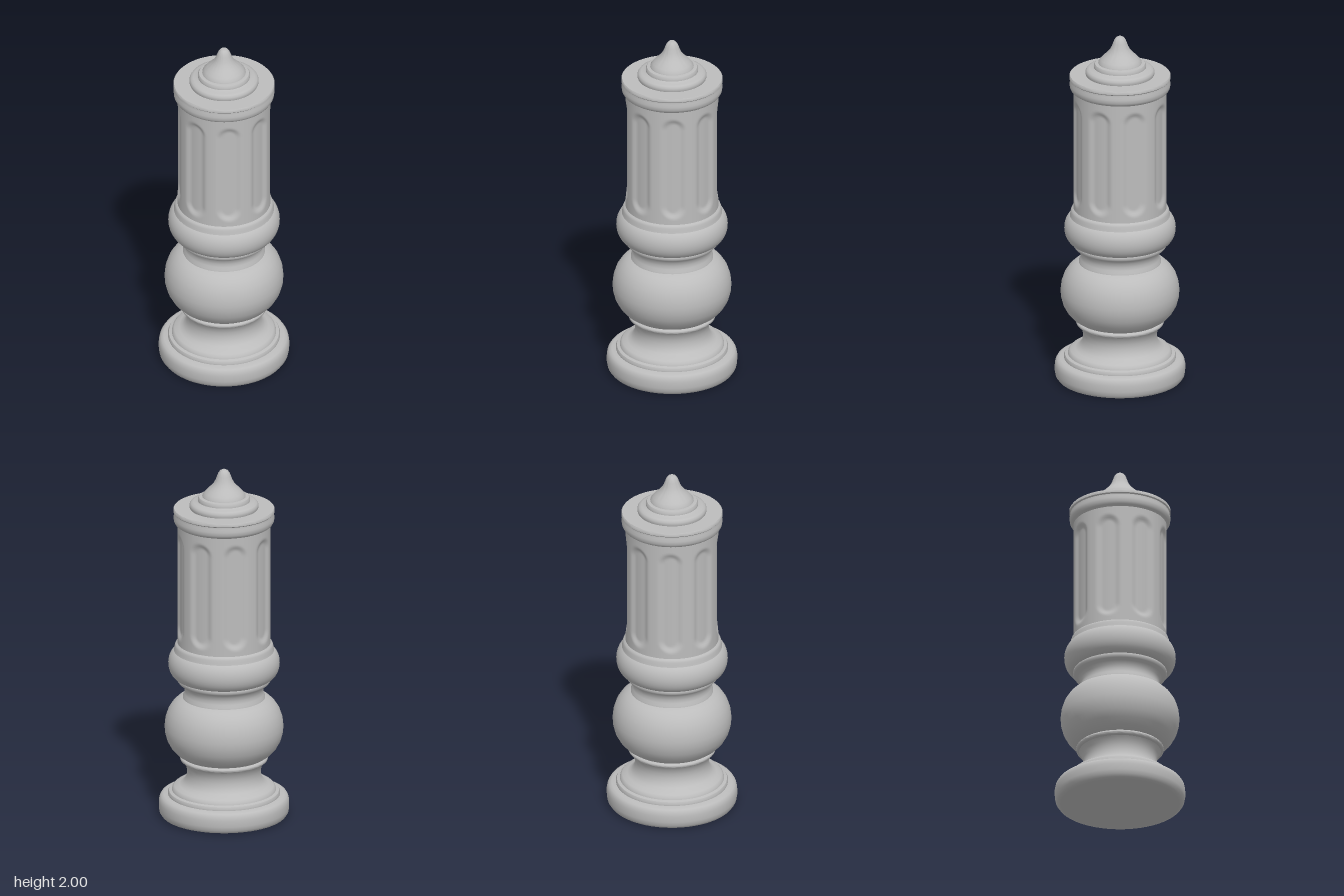
import * as THREE from 'three';
import { mergeVertices, toCreasedNormals } from 'three/addons/utils/BufferGeometryUtils.js';

const stone = new THREE.MeshStandardMaterial({ color: 0xbcbcbc });
stone.name = 'grey stone';

// Turned part from [radius, height] pairs, listed bottom to top
function turned(name, profile) {
  const points = profile.map(([r, y]) => new THREE.Vector2(r, y));
  const geometry = toCreasedNormals(new THREE.LatheGeometry(points, 64), 0.75);
  const mesh = new THREE.Mesh(geometry, stone);
  mesh.name = name;
  return mesh;
}

// Rounded moulding: half ellipse bulging from r0 to r1 between two heights
function bulge(r0, r1, y0, y1, steps = 16) {
  return Array.from({ length: steps + 1 }, (_, i) => {
    const a = (i / steps - 0.5) * Math.PI;
    return [r0 + (r1 - r0) * Math.cos(a), (y0 + y1) / 2 + (y1 - y0) / 2 * Math.sin(a)];
  });
}

// Column with eight shallow, round-ended flutes
function flutedShaft() {
  const radius = 0.255, y0 = 0.99, y1 = 1.70, rows = 72;
  const points = Array.from({ length: rows + 1 }, (_, i) =>
    new THREE.Vector2(radius, y0 + (y1 - y0) * i / rows));
  let geometry = new THREE.LatheGeometry(points, 160);
  const p = geometry.attributes.position;
  const halfWidth = 0.072, low = 1.10, high = 1.57, depth = 0.014;
  const pitch = Math.PI / 4;
  for (let i = 0; i < p.count; i++) {
    const x = p.getX(i), y = p.getY(i), z = p.getZ(i);
    const angle = Math.atan2(x, z);
    const across = (angle - Math.round(angle / pitch) * pitch) * radius;
    const along = y - THREE.MathUtils.clamp(y, low, high);
    const inside = halfWidth - Math.hypot(across, along);
    const k = 1 - depth * THREE.MathUtils.smoothstep(inside, 0, 0.035) / radius;
    p.setXYZ(i, x * k, y, z * k);
  }
  geometry.deleteAttribute('normal');
  geometry.deleteAttribute('uv');
  geometry = mergeVertices(geometry);
  geometry.computeVertexNormals();
  const mesh = new THREE.Mesh(geometry, stone);
  mesh.name = 'flutedShaft';
  return mesh;
}

export function createModel() {
  const model = new THREE.Group();
  model.name = 'turnedPost';
  model.add(
    // Round plinth with softened rims
    turned('base', [
      [0, 0], [0.325, 0], [0.343, 0.006], [0.354, 0.022], [0.358, 0.045],
      [0.358, 0.08], [0.354, 0.1], [0.345, 0.115], [0.33, 0.122], [0.25, 0.122],
    ]),
    // Stepped foot rising into the waist
    turned('foot', [
      [0.307, 0.12], [0.308, 0.13], [0.302, 0.142], [0.286, 0.147], [0.283, 0.158],
      [0.272, 0.17], [0.245, 0.177], [0.225, 0.19], [0.21, 0.212], [0.203, 0.24],
      [0.203, 0.265], [0.21, 0.29], [0.222, 0.31], [0.228, 0.318],
    ]),
    turned('lowerBead', bulge(0.215, 0.241, 0.312, 0.345, 8)),
    // Large ball
    turned('ball', [
      [0.21, 0.335], [0.233, 0.345], [0.262, 0.365], [0.29, 0.395], [0.312, 0.435],
      [0.324, 0.48], [0.326, 0.515], [0.321, 0.56], [0.306, 0.605], [0.282, 0.642],
      [0.255, 0.667], [0.225, 0.682], [0.2, 0.688],
    ]),
    // Neck and thin fillet under the collar
    turned('neck', [
      [0.227, 0.675], [0.225, 0.69], [0.217, 0.705], [0.215, 0.725], [0.219, 0.745],
      [0.232, 0.763], [0.25, 0.772], [0.257, 0.782], [0.257, 0.795], [0.25, 0.805],
    ]),
    turned('collar', bulge(0.245, 0.306, 0.795, 0.965)),
    turned('shaftFillet', [
      [0.25, 0.94], [0.276, 0.95], [0.272, 0.965], [0.27, 0.98], [0.265, 0.992], [0.25, 1.0],
    ]),
    flutedShaft(),
    // Flat-topped capital
    turned('capital', [
      [0.25, 1.675], [0.256, 1.685], [0.268, 1.692], [0.275, 1.705], [0.277, 1.725],
      [0.273, 1.74], [0.272, 1.752], [0.278, 1.758], [0.278, 1.772], [0.274, 1.777], [0, 1.777],
    ]),
    // Stepped finial with a pointed tip
    turned('finialSteps', [
      [0.186, 1.775], [0.19, 1.785], [0.189, 1.798], [0.182, 1.809], [0.168, 1.814],
      [0.15, 1.816], [0.143, 1.82], [0.143, 1.832], [0.137, 1.842], [0.122, 1.845], [0.1, 1.846],
    ]),
    turned('finialTip', [
      [0.12, 1.842], [0.118, 1.852], [0.106, 1.868], [0.09, 1.885], [0.072, 1.902],
      [0.057, 1.92], [0.046, 1.94], [0.038, 1.962], [0.031, 1.98], [0.021, 1.993],
      [0.01, 1.999], [0, 2],
    ]),
  );
  return model;
}
